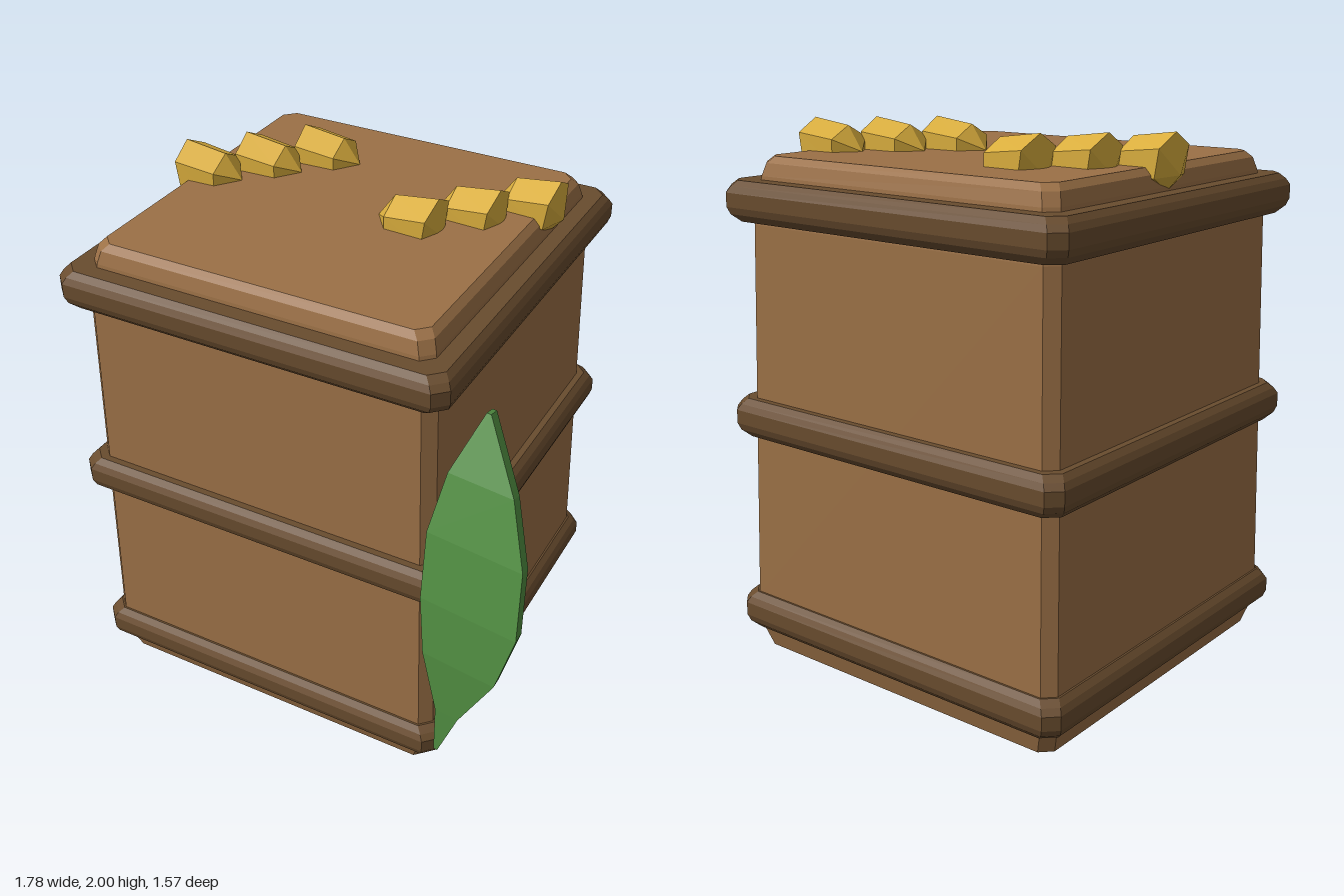
import * as THREE from 'three';

const V = (x, y, z) => new THREE.Vector3(x, y, z);

// Skin a stack of rings and close both ends with fans (to the ring middle unless a tip is given)
function loft(rings, startTip, endTip) {
  const pos = [];
  const tri = (...pts) => pts.forEach((p) => pos.push(p.x, p.y, p.z));
  const middle = (ring) => ring.reduce((s, p) => s.add(p), V(0, 0, 0)).divideScalar(ring.length);
  const first = rings[0], last = rings[rings.length - 1], n = first.length;
  const start = startTip || middle(first), end = endTip || middle(last);
  for (let j = 0; j < n; j++) {
    const k = (j + 1) % n;
    for (let i = 0; i < rings.length - 1; i++) {
      const a = rings[i], b = rings[i + 1];
      tri(a[j], a[k], b[k]);
      tri(a[j], b[k], b[j]);
    }
    tri(start, first[k], first[j]);
    tri(end, last[j], last[k]);
  }
  const g = new THREE.BufferGeometry();
  g.setAttribute('position', new THREE.Float32BufferAttribute(pos, 3));
  g.computeVertexNormals();
  return g;
}

// Square outline with cut corners
function squareRing(y, h, cut) {
  const m = h - cut;
  return [[h, m], [h, -m], [m, -h], [-m, -h], [-h, -m], [-h, m], [-m, h], [m, h]].map(([x, z]) => V(x, y, z));
}

const squareLoft = (profile, cut) => loft(profile.map(([y, h]) => squareRing(y, h, cut)));

// Six-sided nugget, blunt at -x and tapering towards +x
function nuggetGeometry() {
  const hex = (x, y, r, lean) => Array.from({ length: 6 }, (_, i) => {
    const a = (i / 6) * Math.PI * 2;
    return V(x - lean * Math.cos(a), y + r * Math.cos(a), r * 1.12 * Math.sin(a));
  });
  return loft([hex(-0.09, 0.002, 0.097, 0.015), hex(0.06, -0.012, 0.09, 0)], V(-0.125, -0.04, 0), V(0.125, -0.012, 0));
}

// Curved leaf blade: each section is [y, left x, right x, front z]
function leafGeometry() {
  const sections = [
    [0.32, 0.62, 0.635, 0.775], [0.52, 0.62, 0.71, 0.777], [0.75, 0.557, 0.835, 0.77], [0.96, 0.527, 0.89, 0.74],
    [1.19, 0.512, 0.87, 0.673], [1.39, 0.543, 0.787, 0.585], [1.58, 0.62, 0.637, 0.46],
  ];
  return loft(sections.map(([y, l, r, z]) => {
    const tilt = (r - l) * 0.06;
    const t = 0.045, drop = y > 1 ? 0.012 : 0;
    return [V(r, y - drop, z + tilt - t), V(l, y - drop, z - tilt - t), V(l, y, z - tilt), V(r, y, z + tilt)];
  }));
}

export function createModel() {
  const wood = new THREE.MeshStandardMaterial({ name: 'wood brown', color: 0x9b7046 });
  const darkWood = new THREE.MeshStandardMaterial({ name: 'dark wood', color: 0x694c2e });
  const gold = new THREE.MeshStandardMaterial({ name: 'gold', color: 0xd9ad3d });
  const green = new THREE.MeshStandardMaterial({ name: 'leaf green', color: 0x4f8b40 });

  const model = new THREE.Group();
  model.name = 'leafyCrate';
  const add = (name, geometry, material, x = 0, y = 0, z = 0) => {
    const mesh = new THREE.Mesh(geometry, material);
    mesh.name = name;
    mesh.position.set(x, y, z);
    model.add(mesh);
    return mesh;
  };
  const cx = -0.157, cz = -0.043;

  // Slightly tapering block with bevelled ends
  add('crateBody', squareLoft([
    [0, 0.6], [0.04, 0.665], [0.12, 0.69], [0.25, 0.698], [1.65, 0.667], [1.82, 0.645], [1.865, 0.632], [1.888, 0.61],
  ], 0.04), wood, cx, 0, cz);

  // Three raised bands
  const band = squareLoft([[-0.072, 0.7], [-0.045, 0.727], [-0.02, 0.736], [0.03, 0.736], [0.052, 0.724], [0.072, 0.705]], 0.045);
  [['lowerBand', 0.19], ['middleBand', 0.948], ['upperBand', 1.735]].forEach(([name, y]) => add(name, band, darkWood, cx, y, cz));

  // Two diagonal rows of nuggets on the top, blunt ends outwards
  const nugget = nuggetGeometry();
  for (let i = 0; i < 3; i++) {
    const z = -0.045 - i * 0.157;
    add('rightNugget' + (i + 1), nugget, gold, -0.72 + i * 0.157, 1.9, z);
    add('leftNugget' + (i + 1), nugget, gold, 0.09 + i * 0.157, 1.9, z).rotation.y = Math.PI;
  }

  // Leaf at the front left corner
  add('leaf', leafGeometry(), green);
  return model;
}
